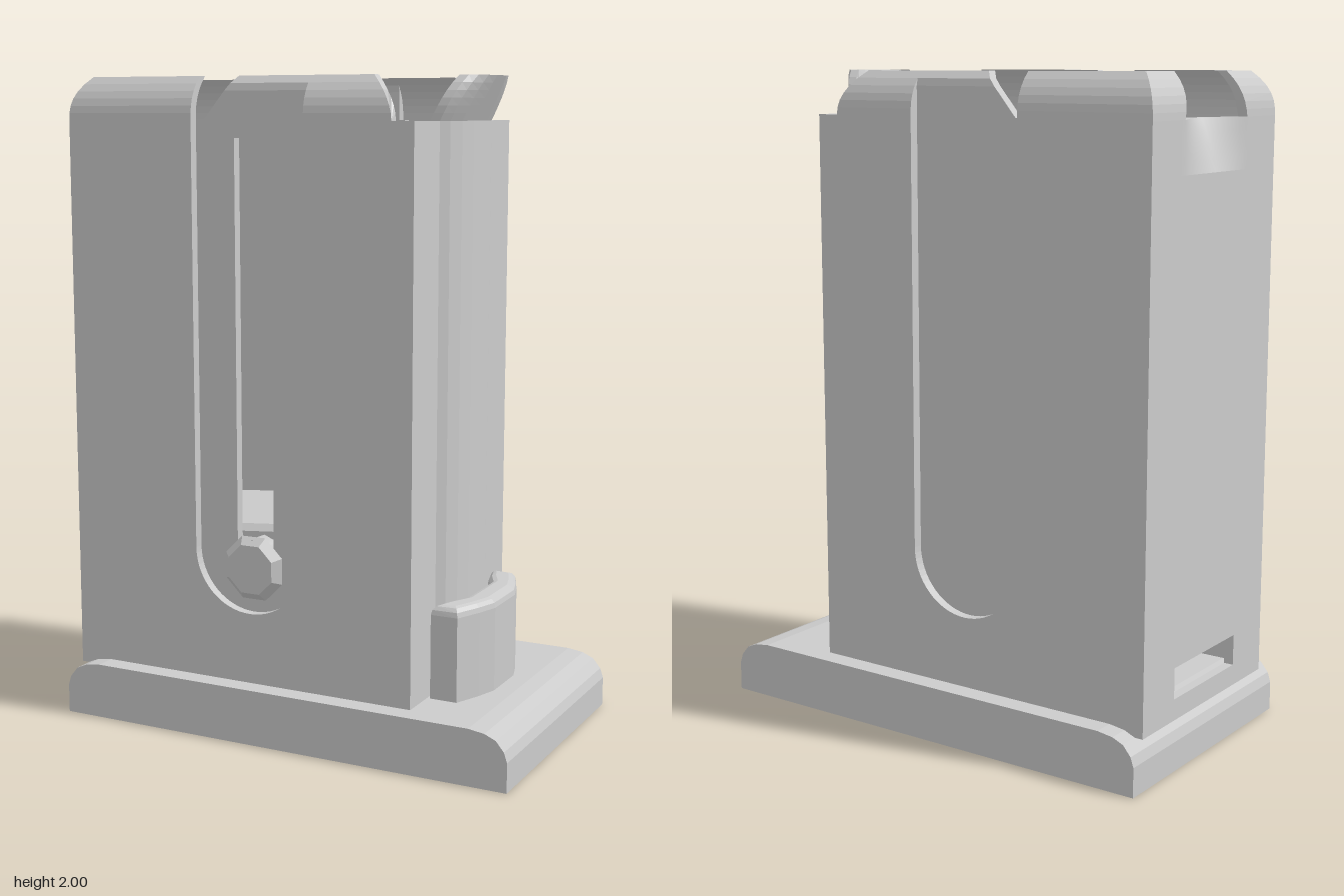
import * as THREE from 'three';

const material = new THREE.MeshStandardMaterial({ color: 0xcccccc, side: THREE.DoubleSide });
const RIM = 1.87, TOP = 2, WALL = 0.03, HALF = 0.355;
const lerp = THREE.MathUtils.lerp;

function part(name, geometry) {
  const mesh = new THREE.Mesh(geometry, material);
  mesh.name = name;
  return mesh;
}

function polygon(points) {
  return new THREE.Shape(points.map(p => new THREE.Vector2(p[0], p[1])));
}

function extrude(shape, depth, options = {}) {
  return new THREE.ExtrudeGeometry(shape, { depth, bevelEnabled: false, curveSegments: 16, ...options });
}

// Extrude a plan (x, z) upward from y
function extrudeUp(points, y, height, options) {
  return extrude(polygon(points), height, options).rotateX(-Math.PI / 2).translate(0, y, 0);
}

// Move every vertex by a rule
function warp(geometry, rule) {
  const pos = geometry.attributes.position, v = new THREE.Vector3();
  for (let i = 0; i < pos.count; i++) {
    rule(v.fromBufferAttribute(pos, i));
    pos.setXYZ(i, v.x, v.y, v.z);
  }
  geometry.computeVertexNormals();
  return geometry;
}

// Mirror a half plan about the x axis
const mirrored = half => [...half, ...half.slice().reverse().map(([x, z]) => [x, -z])];

// Inward-curling rim; each end is [x at bottom, x at top, curve exponent]
function lip(start, end, recess = 0) {
  const outer = [], inner = [];
  for (let i = 0; i <= 6; i++) {
    const t = i / 6, z = HALF - Math.max(0.055 * t ** 2.5, recess);
    outer.push([z, lerp(RIM, TOP, t)]);
    inner.unshift([z - WALL, lerp(RIM, TOP, t)]);
  }
  const geometry = extrude(polygon([...outer, ...inner]), 1).rotateY(-Math.PI / 2);
  return warp(geometry, v => {
    const t = Math.max(0, (v.y - RIM) / (TOP - RIM));
    const at = e => lerp(e[0], e[1], t ** (e[2] ?? 1));
    v.x = lerp(at(start), at(end), v.x + 1);
  });
}

const GROOVE = { left: -0.305, right: 0.07, r: 0.1875, x: -0.1175, y: 0.5775 };

// Long side: outer skin, recessed groove panel and curled rim pieces
function sideWall(slotted) {
  const side = new THREE.Group();
  const g = GROOVE;
  const skin = new THREE.Shape();
  skin.moveTo(-0.74, 0.15);
  skin.lineTo(0.39, 0.15);
  skin.lineTo(0.39, RIM);
  skin.lineTo(g.right, RIM);
  skin.lineTo(g.right, g.y);
  skin.absarc(g.x, g.y, g.r, 0, Math.PI, true);
  skin.lineTo(g.left, RIM);
  skin.lineTo(-0.74, RIM);
  side.add(part('sideSkin', extrude(skin, WALL).translate(0, 0, HALF - WALL)));

  const r = g.r + 0.02;
  const panel = new THREE.Shape();
  panel.moveTo(g.x + r, RIM);
  panel.lineTo(g.x - r, RIM);
  panel.lineTo(g.x - r, g.y);
  panel.absarc(g.x, g.y, r, Math.PI, Math.PI * 2, false);
  if (slotted) {
    panel.holes.push(polygon([[-0.175, 0.55], [-0.175, 1.82], [-0.05, 1.82], [-0.05, 0.55]]));
  }
  side.add(part('groovePanel', extrude(panel, WALL).translate(0, 0, HALF - 2 * WALL)));

  side.add(part('rearRim', lip([-0.74, -0.685, 2.5], [g.left, g.left])));
  side.add(part('grooveRim', lip([-0.28, -0.17], [g.right, g.right], WALL)));
  side.add(part('frontRim', lip([g.right, g.right], [0.35, 0.27, 2])));
  // Corner rim on the narrow end, mitred to the side rim
  const corner = lip([0.18, 0.15], [HALF, 0.30, 2.5]).rotateY(-Math.PI / 2).translate(HALF - 0.74, 0, 0);
  side.add(part('cornerRim', corner));
  side.name = 'sideWall';
  return side;
}

export function createModel() {
  const model = new THREE.Group();
  model.name = 'magazine';

  // Base plate with rounded ends
  const end = [[0.75, 0], [0.75, 0.09], [0.74, 0.12], [0.715, 0.15], [0.68, 0.165], [0.63, 0.172]];
  const basePoints = [...end, ...end.slice().reverse().map(([x, y]) => [-x, y])];
  model.add(part('basePlate', extrude(polygon(basePoints), 0.84).translate(0, 0, -0.42)));

  // Long sides
  const near = sideWall(true), far = sideWall(false);
  far.scale.z = -1;
  model.add(near, far);

  // Narrow rear wall with a low slot
  const rear = polygon([[-0.325, 0.15], [0.325, 0.15], [0.325, 1.72], [-0.325, 1.72]]);
  rear.holes.push(polygon([[-0.18, 0.215], [-0.18, 0.31], [0.18, 0.31], [0.18, 0.215]]));
  model.add(part('rearWall', extrude(rear, WALL).rotateY(-Math.PI / 2).translate(-0.71, 0, 0)));

  // Top of the rear wall, creased inward at the middle
  const crease = new THREE.BoxGeometry(WALL, RIM - 1.72, 0.65, 1, 4, 26).translate(-0.725, (RIM + 1.72) / 2, 0);
  model.add(part('rearCrease', warp(crease, v => {
    v.x += 0.075 * Math.max(0, 1 - Math.abs(v.z) / 0.18) * (v.y - 1.72) / (RIM - 1.72);
  })));

  // Front wall with a rounded spine
  const spine = [[0.42, 0.18], [0.442, 0.155], [0.46, 0.11], [0.47, 0.05]];
  const inset = pts => pts.map(([x, z]) => [x - WALL, z]);
  const outerHalf = [[0.42, HALF], ...spine];
  const strip = half => {
    const outer = mirrored(half);
    return [...outer, ...inset(outer).reverse()].reverse();
  };
  model.add(part('frontWall', extrudeUp(strip(outerHalf), 0.15, RIM - 0.15)));

  // Flared tongue above the spine
  const tongue = extrudeUp(strip(spine), RIM, TOP - RIM, { steps: 6 });
  model.add(part('flaredTongue', warp(tongue, v => {
    const t = (v.y - RIM) / (TOP - RIM);
    v.x += 0.065 * t;
    v.z *= 1 - 0.3 * t ** 3;
  })));

  // Bumper hugging the foot of the spine
  const bumper = [...mirrored([[0.43, 0.235], [0.515, 0.235], [0.55, 0.15], [0.572, 0.08]]),
    ...mirrored([[0.45, 0.16], [0.48, 0.1]]).reverse()].reverse();
  model.add(part('bumper', extrudeUp(bumper, 0.15, 0.28, {
    bevelEnabled: true, bevelSize: 0.025, bevelThickness: 0.03, bevelOffset: -0.025, bevelSegments: 3,
  })));

  // Follower inside, rounded toward the front and slightly tilted
  const nose = [[-0.62, 0.265], [0.2, 0.265], [0.3, 0.23], [0.37, 0.16], [0.405, 0.07]];
  const follower = extrudeUp(mirrored(nose).reverse(), 0.34, 0.29, {
    bevelEnabled: true, bevelSize: 0.02, bevelThickness: 0.02, bevelOffset: -0.015, bevelSegments: 1,
  });
  model.add(part('follower', warp(follower, v => { v.y += 0.08 * (v.x + 0.11); })));

  // Eight-sided button riding in the slot
  const button = new THREE.CylinderGeometry(0.08, 0.105, 0.025, 8).toNonIndexed();
  button.computeVertexNormals();
  button.rotateY(Math.PI / 8).rotateX(Math.PI / 2).translate(-0.113, 0.53, 0.348);
  const stem = new THREE.CylinderGeometry(0.06, 0.06, 0.09, 8).rotateX(Math.PI / 2).translate(-0.113, 0.56, 0.3);
  model.add(part('button', button), part('buttonStem', stem));

  return model;
}
